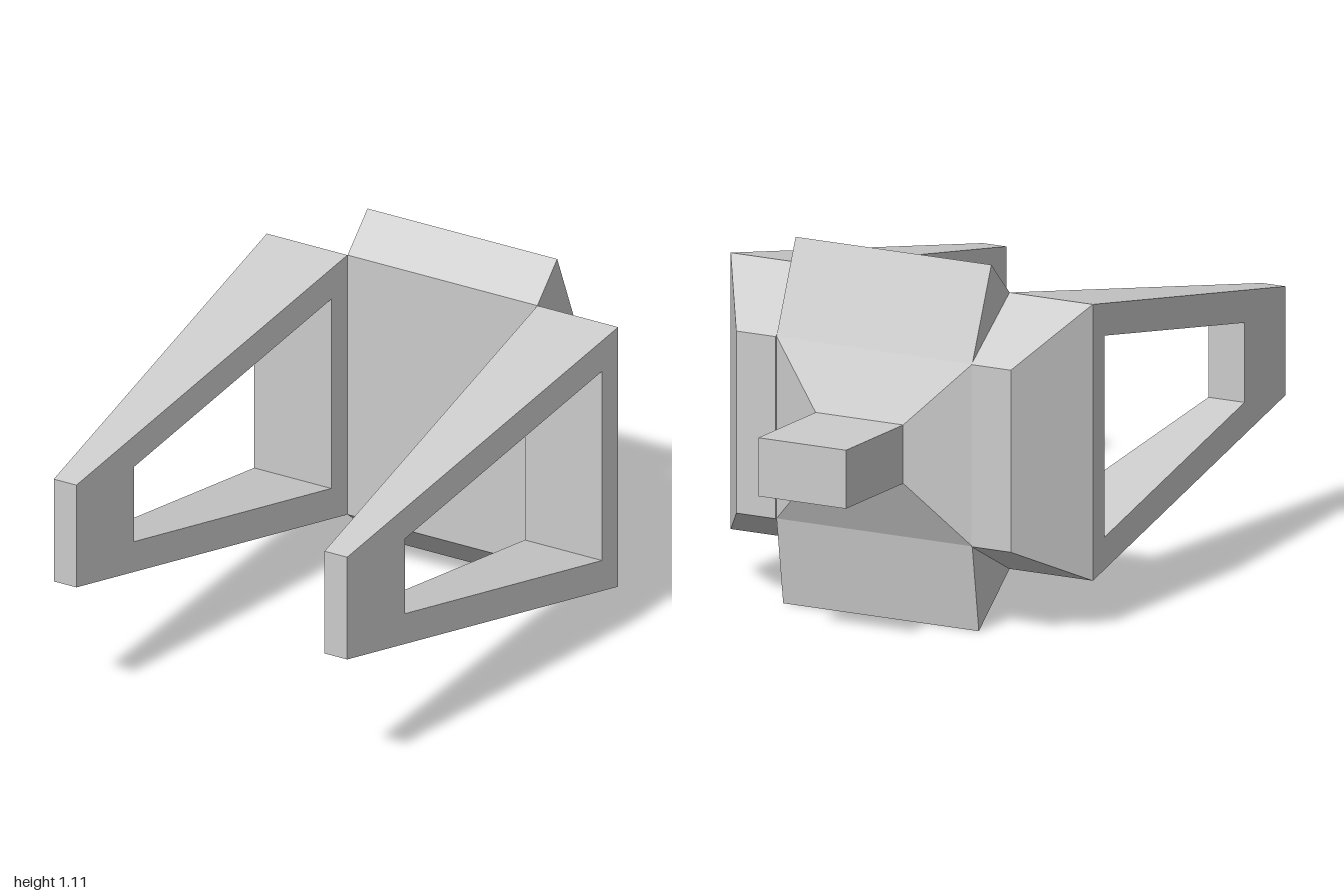
import * as THREE from 'three';

const material = new THREE.MeshStandardMaterial({ color: 0xcccccc, flatShading: true });

function add(parent, name, geometry) {
  const mesh = new THREE.Mesh(geometry, material);
  mesh.name = name;
  parent.add(mesh);
  return mesh;
}

// Solid through rectangular sections [z, x0, x1, y0, y1], listed front to back
function loft(sections) {
  const rings = sections.map(([z, x0, x1, y0, y1]) =>
    [[x0, y0, z], [x1, y0, z], [x1, y1, z], [x0, y1, z]]);
  const pos = [];
  const quad = (a, b, c, d) => pos.push(...a, ...b, ...c, ...a, ...c, ...d);
  quad(...rings[0]);
  for (let k = 0; k < rings.length - 1; k++) {
    const a = rings[k], b = rings[k + 1];
    for (let i = 0; i < 4; i++) {
      const j = (i + 1) % 4;
      quad(a[i], b[i], b[j], a[j]);
    }
  }
  quad(...[...rings[rings.length - 1]].reverse());
  const geometry = new THREE.BufferGeometry();
  geometry.setAttribute('position', new THREE.Float32BufferAttribute(pos, 3));
  geometry.computeVertexNormals();
  return geometry;
}

// Side profile given as [z, y], extruded across x and centred on x = 0
function sideProfile(points, width, hole) {
  const toVectors = list => list.map(([z, y]) => new THREE.Vector2(z, y));
  const shape = new THREE.Shape(toVectors(points));
  if (hole) shape.holes.push(new THREE.Path(toVectors(hole)));
  const geometry = new THREE.ExtrudeGeometry(shape, { depth: width, bevelEnabled: false });
  return geometry.rotateY(-Math.PI / 2).translate(width / 2, 0, 0);
}

// Windowed arm whose thickness narrows towards its front tip
function armGeometry() {
  const geometry = sideProfile(
    [[1, 0.405], [1, 0.74], [-0.34, 1], [-0.34, 0.15]], 2,
    [[0.715, 0.45], [0.715, 0.695], [-0.26, 0.885], [-0.26, 0.265]]);
  const p = geometry.attributes.position;
  for (let i = 0; i < p.count; i++) {
    const t = (p.getZ(i) + 0.34) / 1.34;
    p.setX(i, p.getX(i) * THREE.MathUtils.lerp(0.1425, 0.04, t));
  }
  geometry.computeVertexNormals();
  return geometry;
}

export function createModel() {
  const model = new THREE.Group();
  model.name = 'twinArmCoupler';

  // Central body with a ridge above and below
  add(model, 'body', sideProfile([
    [-0.34, 0.15], [-0.34, 1], [-0.45, 1.11],
    [-0.565, 0.83], [-0.565, 0.27], [-0.525, 0],
  ], 0.67));

  // Tapered neck and square rear stem
  add(model, 'neck', loft([
    [-0.565, -0.335, 0.335, 0.27, 0.83],
    [-0.655, -0.15, 0.15, 0.46, 0.64],
  ]));
  add(model, 'stem', loft([
    [-0.655, -0.15, 0.15, 0.46, 0.64],
    [-1, -0.15, 0.15, 0.46, 0.64],
  ]));

  // Mirrored arms with their sloped shoulders
  for (const [side, s] of [['left', 1], ['right', -1]]) {
    add(model, side + 'Arm', armGeometry()).position.x = s * 0.478;
    const span = outer => s > 0 ? [0.335, outer] : [-outer, -0.335];
    add(model, side + 'Shoulder', loft([
      [-0.34, ...span(0.62), 0.15, 1],
      [-0.57, ...span(0.47), 0.27, 0.83],
    ]));
  }
  return model;
}
